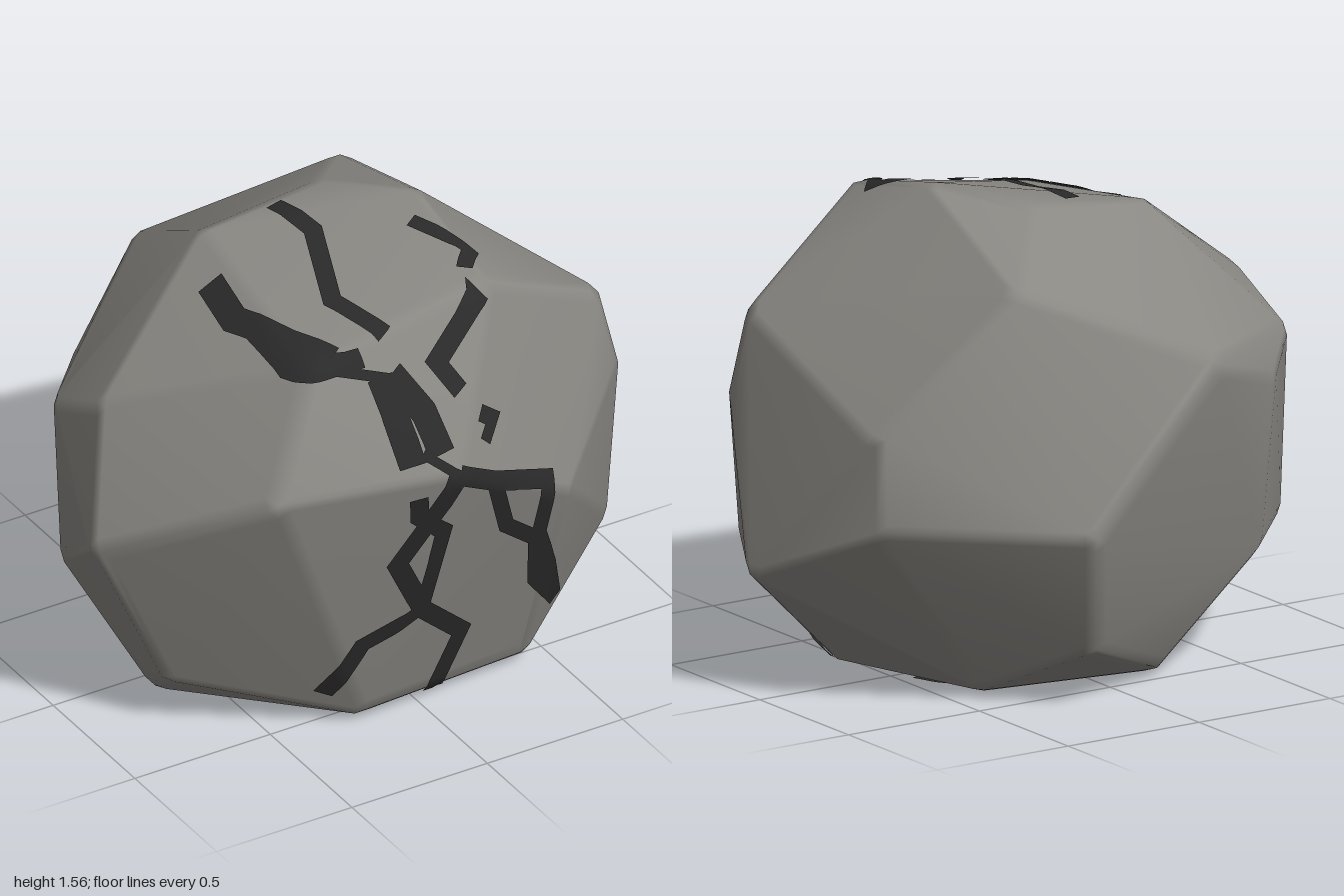
import * as THREE from 'three';
import { mergeVertices } from 'three/addons/utils/BufferGeometryUtils.js';
import { ConvexGeometry } from 'three/addons/geometries/ConvexGeometry.js';

// Corners of the boulder
const CORNERS = [
  // front and crown
  [0, 1, 0.83], [-0.6, 1, 0.69], [0.47, 0.73, 0.73], [-0.4, 1.36, 0.56], [0.28, 1.47, 0.54],
  [0.29, 1.57, 0.1], [-0.36, 1.48, -0.17], [0.1, 1.53, -0.17], [0.36, 1.36, -0.49],
  // left side
  [1, 0.42, 0.05], [0.79, 1.17, 0.38], [0.85, 0.92, 0.39], [0.82, 0.91, -0.37],
  [0.83, 0.61, -0.39], [0.76, 0.4, 0.46],
  // right side
  [-1, 0.73, 0.25], [-0.87, 1.12, 0.07], [-0.87, 0.99, -0.2], [-0.66, 0.94, -0.46],
  [-0.84, 0.39, -0.2], [-0.77, 0.2, 0.29],
  // back
  [-0.23, 1.1, -0.77], [0.3, 0.6, -0.83], [0.2, 0.2, -0.68], [-0.57, 0.38, -0.5],
];
const BASE_Y = 0.02;
const BASE = [[-0.22, 0.57], [0.42, 0.53], [0.57, 0.22], [0.4, -0.36], [-0.2, -0.46], [-0.69, 0.1]];

// Convex boulder with softly bevelled edges: a small ball placed inside each corner, then wrapped
function rockGeometry() {
  const bevel = 0.08;
  const ball = mergeVertices(new THREE.IcosahedronGeometry(bevel, 1).deleteAttribute('normal').deleteAttribute('uv'))
    .getAttribute('position');
  const centre = new THREE.Vector3(0, 0.78, 0);
  const points = [];
  for (const c of [...CORNERS, ...BASE.map(([x, z]) => [x, BASE_Y, z])]) {
    const p = new THREE.Vector3(...c);
    p.add(centre.clone().sub(p).setLength(bevel));
    if (c[1] === BASE_Y) p.y = BASE_Y + bevel;
    for (let i = 0; i < ball.count; i++) {
      points.push(new THREE.Vector3().fromBufferAttribute(ball, i).add(p));
    }
  }
  // shared vertices give area-weighted normals: flat faces, soft bevels
  const g = mergeVertices(new ConvexGeometry(points).deleteAttribute('normal'), 1e-4);
  g.computeVertexNormals();
  return g;
}

// Directions from which crack paths are projected on the rock
const SIDES = {
  front: (a, b) => [new THREE.Vector3(a, b, 3), new THREE.Vector3(0, 0, -1)],
  left: (a, b) => [new THREE.Vector3(3, b, a), new THREE.Vector3(-1, 0, 0)],
  top: (a, b) => [new THREE.Vector3(a, 3, b), new THREE.Vector3(0, -1, 0)],
  bottom: (a, b) => [new THREE.Vector3(a, -3, b), new THREE.Vector3(0, 1, 0)],
};

// side, width, path
const CRACKS = [
  ['front', 0.065, [[0, 1], [-0.06, 0.88], [-0.17, 0.67], [-0.06, 0.45], [0.12, 0.28], [0.05, 0.04]]],
  ['front', 0.06, [[-0.13, 0.94], [-0.12, 0.86], [-0.03, 0.78], [-0.06, 0.45]]],
  ['front', 0.06, [[-0.06, 0.45], [-0.25, 0.35], [-0.34, 0.15]]],
  ['front', 0.06, [[0, 1], [0.14, 0.92], [0.37, 0.82], [0.36, 0.6], [0.51, 0.23]]],
  ['front', 0.055, [[0.14, 0.92], [0.22, 0.7], [0.35, 0.59], [0.38, 0.4], [0.51, 0.23]]],
  ['front', 0.09, [[-0.17, 1.31], [-0.14, 1.05]]],
  ['front', 0.09, [[-0.13, 1.31], [-0.06, 1.19], [-0.04, 1.07]]],
  ['front', 0.03, [[-0.1, 1.08], [0, 1]]],
  ['front', 0.06, [[0.24, 1.46], [0.03, 1.31], [0.08, 1.22]]],
  ['front', 0.05, [[0.13, 1.14], [0.18, 1.1], [0.13, 1.05]]],
  ['front', 0.03, [[-0.32, 1.36], [-0.14, 1.3]]],
  ['front', 0.05, [[-0.46, 1.36], [-0.21, 1.37]]],
  ['top', 0.08, [[-0.43, 0.02], [-0.45, 0.2], [-0.38, 0.4], [-0.3, 0.55]]],
  ['top', 0.06, [[-0.1, -0.14], [-0.07, 0.05], [-0.18, 0.35], [-0.11, 0.55]]],
  ['top', 0.05, [[0.2, 0.2], [0.3, 0.39], [0.24, 0.46]]],
  ['left', 0.06, [[0.4, 0.12], [0.3, 0.09], [0.18, 0.08]]],
  ['left', 0.06, [[0.38, 0.23], [0.31, 0.17]]],
];
// Short straight cracks under the base: start point, running slanted or straight back
const SLANTED = [[0.45, -0.06], [-0.2, -0.05], [-0.26, 0.43]];
const STRAIGHT = [[0.15, -0.06], [0.165, 0.42]];
const strip = (dx, dz) => ([x, z]) => ['bottom', 0.06, [[x, z], [x + dx, z + dz]]];

// Thin ribbon with mitred bends, laid over the rock
function crackGeometry(rock, side, width, path) {
  const pts = path.map((p) => new THREE.Vector2(...p));
  const perp = (a, b) => new THREE.Vector2(a.y - b.y, b.x - a.x).normalize();
  const miters = pts.map((p, i) => {
    const n0 = perp(pts[Math.max(i - 1, 0)], pts[Math.max(i, 1)]);
    const n1 = perp(pts[Math.min(i, pts.length - 2)], pts[Math.min(i + 1, pts.length - 1)]);
    const m = n0.clone().add(n1).normalize();
    return m.multiplyScalar(width / 2 / Math.max(m.dot(n0), 0.6));
  });
  const caster = new THREE.Raycaster();
  const across = 5;
  const positions = [];
  const index = [];
  let rows = 0;
  const addRow = (c, m) => {
    for (let k = 0; k < across; k++) {
      const q = c.clone().addScaledVector(m, (2 * k) / (across - 1) - 1);
      caster.set(...SIDES[side](q.x, q.y));
      const hit = caster.intersectObject(rock)[0];
      // a ray past the outline repeats the previous point
      positions.push(...(hit ? hit.point.addScaledVector(hit.face.normal, 0.007).toArray() : positions.slice(-3)));
      if (rows && k) {
        const d = rows * across + k;
        index.push(d - across - 1, d - across, d, d - across - 1, d, d - 1);
      }
    }
    rows++;
  };
  for (let i = 0; i < pts.length - 1; i++) {
    const steps = Math.ceil(pts[i].distanceTo(pts[i + 1]) / 0.025);
    for (let s = i ? 1 : 0; s <= steps; s++) {
      const t = s / steps;
      addRow(pts[i].clone().lerp(pts[i + 1], t), miters[i].clone().lerp(miters[i + 1], t));
    }
  }
  const g = new THREE.BufferGeometry();
  g.setAttribute('position', new THREE.Float32BufferAttribute(positions, 3));
  g.setIndex(index);
  g.computeVertexNormals();
  return g;
}

export function createModel() {
  const group = new THREE.Group();
  group.name = 'crackedBoulder';

  const rock = new THREE.Mesh(rockGeometry(), new THREE.MeshStandardMaterial({ color: 0x8a8883 }));
  rock.name = 'boulder';
  group.add(rock);

  const cracks = new THREE.Group();
  cracks.name = 'cracks';
  const dark = new THREE.MeshStandardMaterial({ color: 0x2a2a2a, side: THREE.DoubleSide });
  const all = [...CRACKS, ...SLANTED.map(strip(-0.16, -0.2)), ...STRAIGHT.map(strip(0, -0.22))];
  all.forEach(([side, width, path], i) => {
    const mesh = new THREE.Mesh(crackGeometry(rock, side, width, path), dark);
    mesh.name = `${side}Crack${i + 1}`;
    cracks.add(mesh);
  });
  group.add(cracks);
  return group;
}
